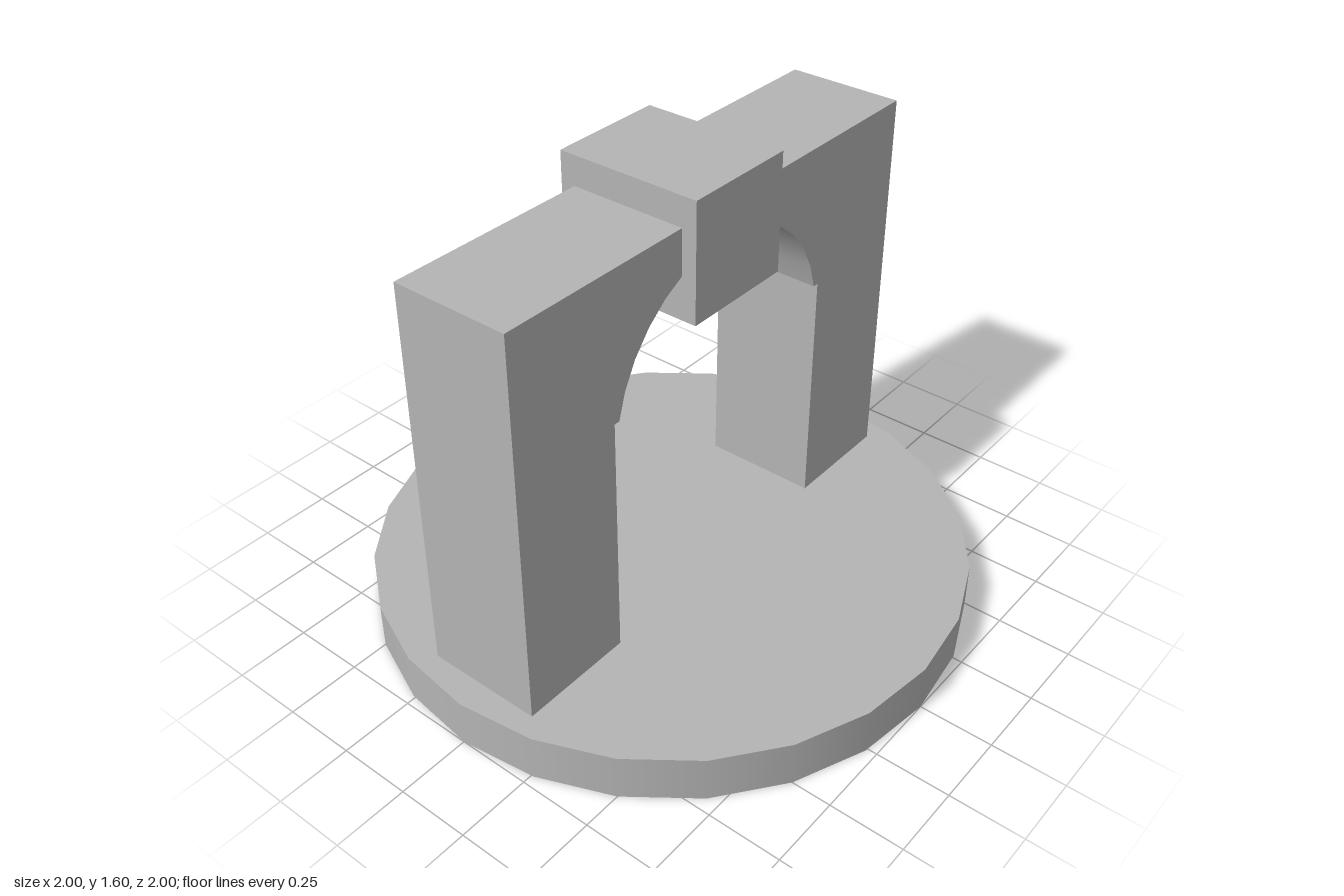
import * as THREE from 'three';
import { toCreasedNormals } from 'three/addons/utils/BufferGeometryUtils.js';

const BASE_TOP = 0.16;

export function createModel() {
  const group = new THREE.Group();
  const stone = new THREE.MeshStandardMaterial({ color: 0xb4b4b4 });
  stone.name = 'stone grey';

  const add = (name, geometry, y) => {
    const mesh = new THREE.Mesh(geometry, stone);
    mesh.name = name;
    mesh.position.y = y;
    group.add(mesh);
  };

  // Round plinth
  add('base', new THREE.CylinderGeometry(1, 1, BASE_TOP, 24), BASE_TOP / 2);

  // Two pillars and lintel in one piece; the arch is slightly narrower than the gap
  const radius = 0.49, centreY = 0.9, springY = 1;
  const outline = new THREE.Shape();
  outline.moveTo(-0.9, BASE_TOP);
  outline.lineTo(-0.5, BASE_TOP);
  outline.lineTo(-0.5, springY);
  const springX = Math.sqrt(radius ** 2 - (springY - centreY) ** 2);
  outline.lineTo(-springX, springY);
  for (let i = 14; i >= 2; i--) {
    const a = (i * Math.PI) / 16;
    outline.lineTo(radius * Math.cos(a), centreY + radius * Math.sin(a));
  }
  outline.lineTo(springX, springY);
  outline.lineTo(0.5, springY);
  outline.lineTo(0.5, BASE_TOP);
  outline.lineTo(0.9, BASE_TOP);
  outline.lineTo(0.9, 1.5);
  outline.lineTo(-0.9, 1.5);
  outline.closePath();
  const arch = new THREE.ExtrudeGeometry(outline, { depth: 0.4, bevelEnabled: false });
  arch.translate(0, 0, -0.2);
  add('archway', toCreasedNormals(arch, 0.5), 0);

  // Block at the crown of the arch
  add('keystone', new THREE.BoxGeometry(0.4, 0.4, 0.5), 1.4);

  return group;
}
